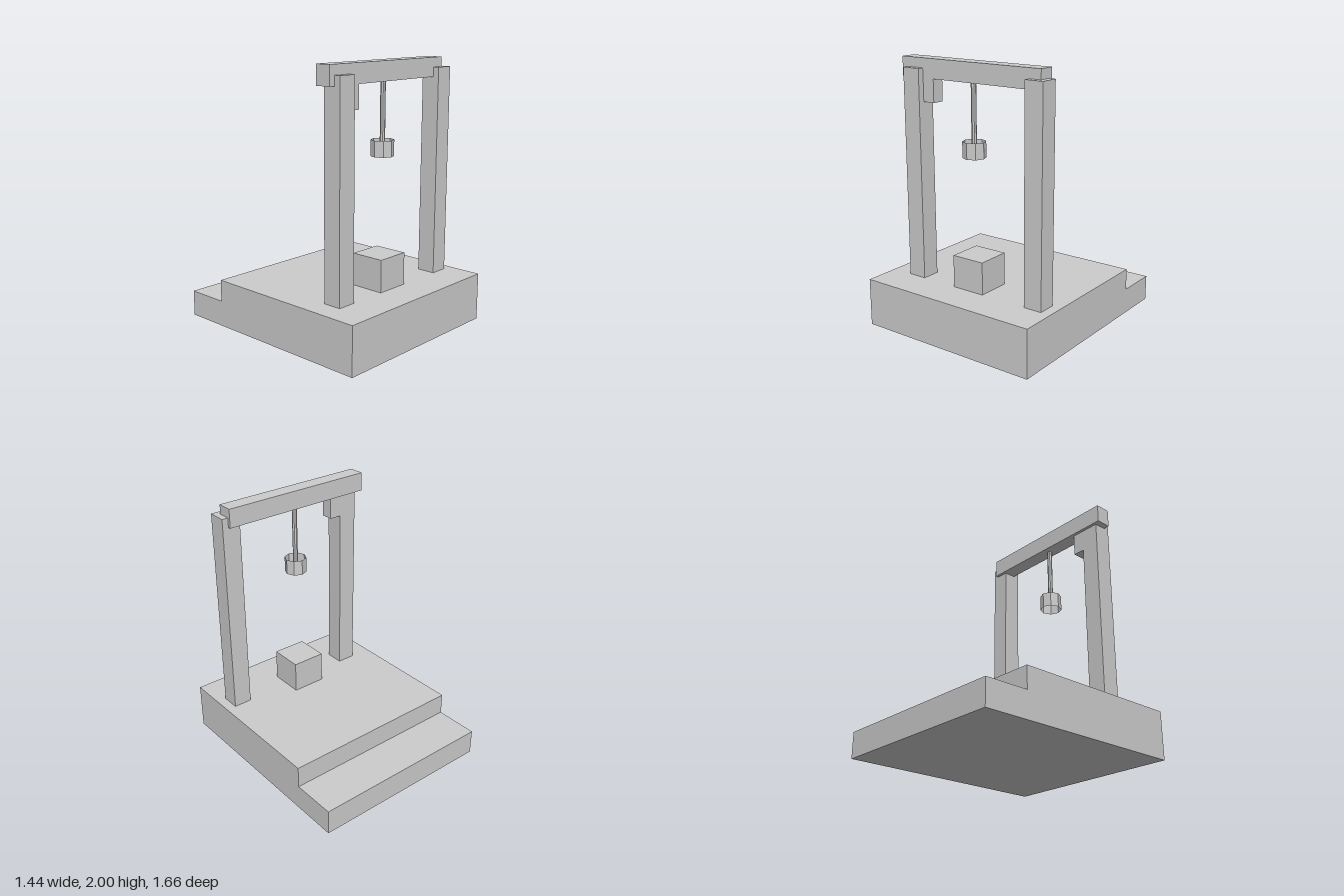
import * as THREE from 'three';

export function createModel() {
  const model = new THREE.Group();
  const grey = new THREE.MeshStandardMaterial({ color: 0xcccccc, flatShading: true });
  const openGrey = grey.clone();
  openGrey.side = THREE.DoubleSide;

  const add = (name, geometry, material = grey) => {
    const mesh = new THREE.Mesh(geometry, material);
    mesh.name = name;
    model.add(mesh);
    return mesh;
  };

  // Box given by its limits on each axis
  const box = (name, [x0, x1], [y0, y1], [z0, z1]) =>
    add(name, new THREE.BoxGeometry(x1 - x0, y1 - y0, z1 - z0))
      .position.set((x0 + x1) / 2, (y0 + y1) / 2, (z0 + z1) / 2);

  // Platform with a lower step at the back: side profile (z, y) extruded along x
  const profile = new THREE.Shape([
    [-0.83, 0], [0.83, 0], [0.83, 0.362], [-0.492, 0.362], [-0.492, 0.196], [-0.83, 0.196],
  ].map(([z, y]) => new THREE.Vector2(-z, y)));
  const platform = new THREE.ExtrudeGeometry(profile, { depth: 1.444, bevelEnabled: false });
  platform.translate(0, 0, -0.722).rotateY(Math.PI / 2);
  add('platform', platform);

  // Frame
  box('rightPost', [-0.555, -0.411], [0.362, 1.929], [0.422, 0.564]);
  box('leftPost', [0.504, 0.647], [0.362, 1.929], [0.422, 0.564]);
  box('crossbeam', [-0.603, 0.6], [1.858, 2], [0.398, 0.518]);
  box('brace', [-0.411, -0.316], [1.688, 1.858], [0.422, 0.517]);

  // Block standing between the posts
  box('block', [-0.122, 0.142], [0.362, 0.605], [0.302, 0.564]);

  // Rope and open eight-sided ring
  add('rope', new THREE.CylinderGeometry(0.019, 0.019, 0.458, 8))
    .position.set(0, 1.629, 0.46);
  add('ring', new THREE.CylinderGeometry(0.084, 0.084, 0.118, 8, 1, true), openGrey)
    .position.set(0, 1.386, 0.46);

  return model;
}
